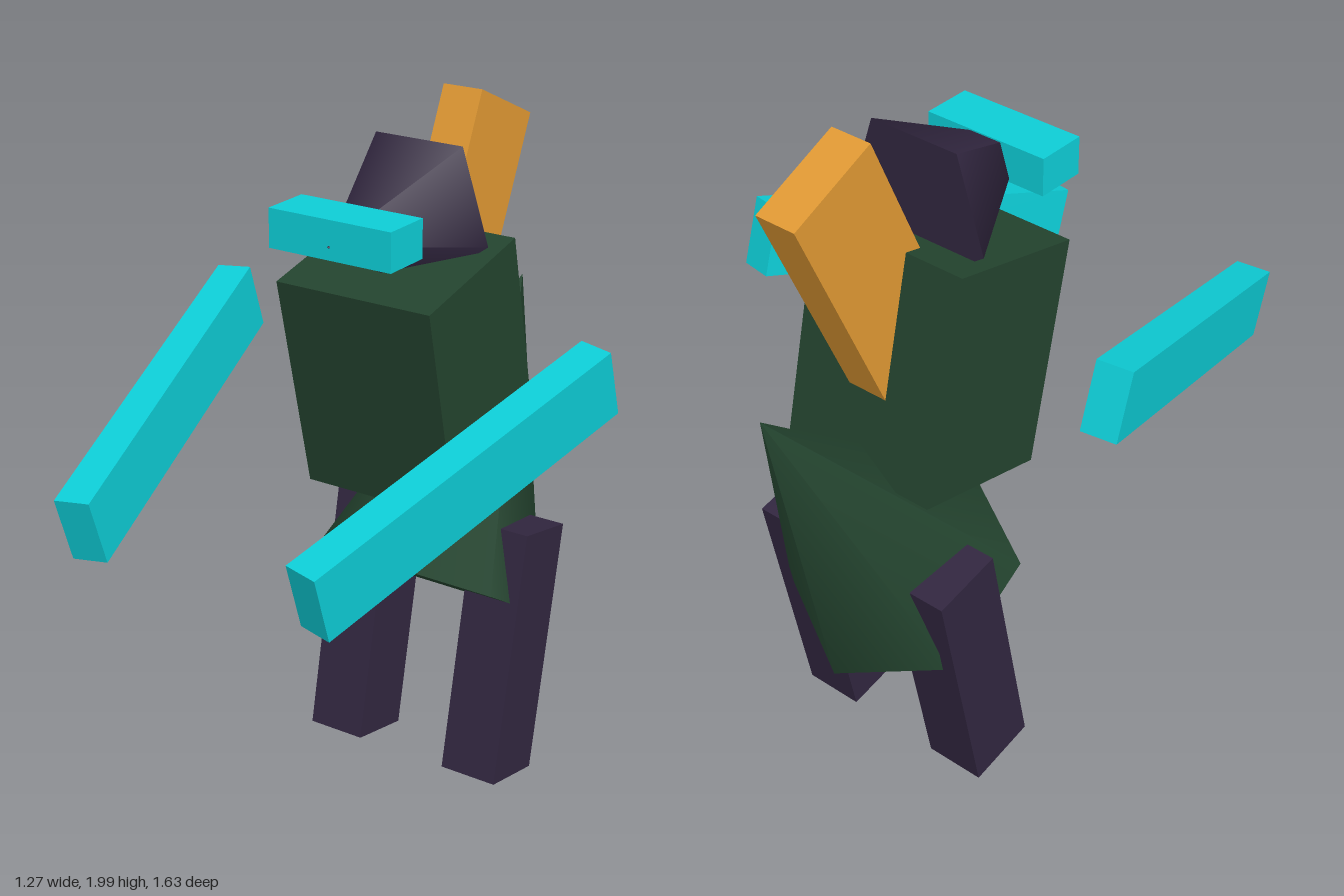
import * as THREE from 'three';

function material(name, color) {
  const m = new THREE.MeshStandardMaterial({ color });
  m.name = name;
  return m;
}

export function createModel() {
  const model = new THREE.Group();
  model.name = 'figure';

  const green = material('darkGreen', 0x23432e);
  const purple = material('darkPurple', 0x31263f);
  const cyan = material('cyan', 0x0dccd5);
  const orange = material('orange', 0xdf9833);

  function add(name, geometry, mat, position, rotation = [0, 0, 0]) {
    const mesh = new THREE.Mesh(geometry, mat);
    mesh.name = name;
    mesh.position.set(...position);
    mesh.rotation.set(...rotation);
    model.add(mesh);
    return mesh;
  }
  const box = (w, h, d) => new THREE.BoxGeometry(w, h, d);

  // Torso leaning forward, with a hexagonal cone behind and below it
  add('torso', box(0.484, 0.645, 0.434), green, [0, 1.283, -0.207], [0.223, 0, 0]);
  add('hipCone', new THREE.ConeGeometry(0.343, 0.945, 6), green, [0, 0.967, -0.568], [-0.552, 0, 0]);

  // Five-sided head cone whose tip pokes through the visor
  add('head', new THREE.ConeGeometry(0.233, 0.425, 5), purple, [0, 1.715, -0.03], [Math.PI / 2, 0, 0]);
  add('visor', box(0.378, 0.108, 0.146), cyan, [0, 1.733, 0.102]);

  // Slanted block rising from the back
  add('backBlock', box(0.123, 0.8, 0.289), orange, [0, 1.577, -0.428], [-0.422, 0, 0]);

  // Mirrored legs and floating arms
  for (const [side, s] of [['left', 1], ['right', -1]]) {
    add(side + 'Leg', box(0.178, 0.756, 0.212), purple, [s * 0.234, 0.398, -0.354], [-0.2, 0, 0]);
    add(side + 'Arm', box(0.1, 0.195, 1.06), cyan, [s * 0.47, 1.21, 0.28], [0.303, -s * 0.221, 0]);
  }

  return model;
}
